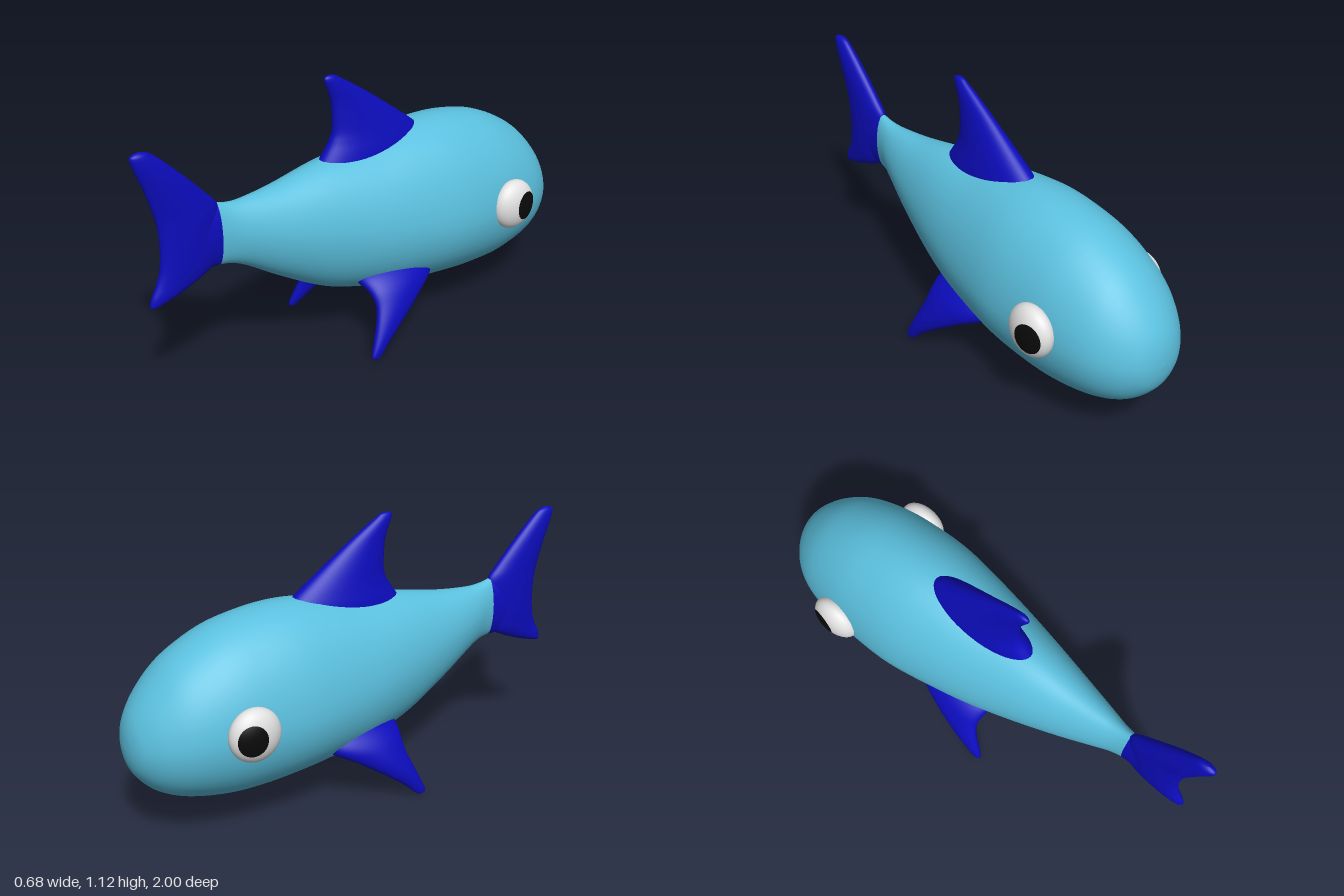
import * as THREE from 'three';
import { mergeVertices } from 'three/addons/utils/BufferGeometryUtils.js';

const SIDES = 48;

const material = (name, color) => {
  const m = new THREE.MeshStandardMaterial({ color });
  m.name = name;
  return m;
};

// Catmull-Rom interpolation of every column of a table of sections
function smooth(rows, steps = 6) {
  const out = [];
  const at = (i) => rows[Math.min(Math.max(i, 0), rows.length - 1)];
  for (let i = 0; i < rows.length - 1; i++) {
    for (let k = 0; k < steps; k++) {
      const t = k / steps;
      out.push(rows[i].map((p1, c) => {
        const p0 = at(i - 1)[c], p2 = at(i + 1)[c], p3 = at(i + 2)[c];
        return p1 + 0.5 * t * (p2 - p0 + t * (2 * p0 - 5 * p1 + 4 * p2 - p3 + t * (3 * (p1 - p2) + p3 - p0)));
      }));
    }
  }
  out.push(rows[rows.length - 1]);
  return out;
}

// Skin through closed rings; point(row, index, rows, cos, sin) gives a vertex
function loft(rows, point) {
  const pos = [], index = [];
  rows.forEach((row, i) => {
    for (let j = 0; j < SIDES; j++) {
      const t = (j / SIDES) * Math.PI * 2;
      pos.push(...point(row, i, rows, Math.cos(t), Math.sin(t)));
      if (i === rows.length - 1) continue;
      const a = i * SIDES + j, b = i * SIDES + (j + 1) % SIDES;
      index.push(a, b, b + SIDES, a, b + SIDES, a + SIDES);
    }
  });
  const geo = new THREE.BufferGeometry();
  geo.setAttribute('position', new THREE.Float32BufferAttribute(pos, 3));
  geo.setIndex(index);
  const welded = mergeVertices(geo, 1e-5);
  welded.computeVertexNormals();
  return welded;
}

// Egg-shaped sections along z: [z, half width, top, bottom, widest height]
const trunk = (rows) => loft(smooth(rows), ([z, w, top, bot, mid], i, all, c, s) =>
  [Math.max(w, 0) * c * (1 - 0.06 * Math.max(s, 0)), mid + s * (s > 0 ? top - mid : mid - bot), z]);

// Oval sections along a path in the xy plane: [x, y, front z, rear z, half thickness]
const fin = (rows) => loft(smooth(rows), ([x, y, zf, zr, w], i, all, c, s) => {
  const p = all[Math.max(i - 1, 0)], q = all[Math.min(i + 1, all.length - 1)];
  const dx = q[0] - p[0], dy = q[1] - p[1], len = Math.hypot(dx, dy);
  const h = Math.max(w, 0) * c;
  return [x - (dy / len) * h, y + (dx / len) * h, (zf + zr) / 2 + s * (zr - zf) / 2];
});

export function createModel() {
  const model = new THREE.Group();
  const skin = material('light blue skin', 0x5bc0de);
  const blue = material('deep blue fins', 0x0c0cbc);
  const white = material('eye white', 0xe2e2e2);
  const black = material('pupil black', 0x0a0a0a);

  const add = (name, geo, mat, parent = model) => {
    const mesh = new THREE.Mesh(geo, mat);
    mesh.name = name;
    parent.add(mesh);
    return mesh;
  };

  // Body from the nose to the tail root
  add('body', trunk([
    [-1, 0, 0.4, 0.4, 0.4],
    [-0.992, 0.06, 0.47, 0.335, 0.4],
    [-0.965, 0.12, 0.54, 0.275, 0.405],
    [-0.9, 0.187, 0.628, 0.21, 0.415],
    [-0.8, 0.24, 0.72, 0.165, 0.43],
    [-0.65, 0.274, 0.798, 0.135, 0.445],
    [-0.5, 0.286, 0.835, 0.133, 0.45],
    [-0.35, 0.286, 0.847, 0.145, 0.455],
    [-0.2, 0.266, 0.835, 0.16, 0.465],
    [0, 0.228, 0.803, 0.19, 0.485],
    [0.2, 0.178, 0.782, 0.25, 0.52],
    [0.4, 0.123, 0.747, 0.36, 0.56],
    [0.55, 0.077, 0.733, 0.455, 0.6],
    [0.62, 0.053, 0.737, 0.487, 0.62],
    [0.67, 0.04, 0.75, 0.497, 0.625],
  ]), skin);

  // Tail root, buried in the tail fin
  add('tailRoot', trunk([
    [0.67, 0.04, 0.75, 0.497, 0.625],
    [0.74, 0.04, 0.755, 0.5, 0.625],
    [0.82, 0.034, 0.74, 0.52, 0.625],
    [0.88, 0, 0.63, 0.62, 0.625],
  ]), blue);

  add('tailFin', fin([
    [0, 0.413, 0.95, 0.95, 0],
    [0, 0.418, 0.925, 0.967, 0.013],
    [0, 0.45, 0.82, 0.96, 0.027],
    [0, 0.5, 0.71, 0.935, 0.036],
    [0, 0.55, 0.677, 0.918, 0.041],
    [0, 0.62, 0.667, 0.91, 0.043],
    [0, 0.7, 0.663, 0.912, 0.043],
    [0, 0.75, 0.667, 0.92, 0.041],
    [0, 0.8, 0.71, 0.933, 0.039],
    [0, 0.88, 0.785, 0.958, 0.035],
    [0, 0.95, 0.855, 0.985, 0.029],
    [0, 1.0, 0.91, 1.0, 0.021],
    [0, 1.015, 0.935, 0.99, 0.013],
    [0, 1.022, 0.965, 0.965, 0],
  ]), blue);

  add('dorsalFin', fin([
    [0, 0.74, -0.38, 0.22, 0.092],
    [0, 0.8, -0.33, 0.175, 0.083],
    [0, 0.85, -0.272, 0.142, 0.071],
    [0, 0.9, -0.205, 0.127, 0.059],
    [0, 1.0, -0.065, 0.132, 0.037],
    [0, 1.06, 0.025, 0.15, 0.026],
    [0, 1.1, 0.09, 0.166, 0.017],
    [0, 1.115, 0.115, 0.16, 0.01],
    [0, 1.12, 0.14, 0.14, 0],
  ]), blue);

  for (const side of [1, -1]) {
    const label = side > 0 ? 'left' : 'right';

    // Side fin, curving out and down from the belly
    add(label + 'SideFin', fin([
      [0.09, 0.29, -0.28, 0.11, 0.06],
      [0.15, 0.273, -0.265, 0.1, 0.057],
      [0.195, 0.24, -0.215, 0.09, 0.05],
      [0.225, 0.195, -0.135, 0.09, 0.042],
      [0.25, 0.13, -0.035, 0.113, 0.034],
      [0.267, 0.065, 0.055, 0.14, 0.024],
      [0.277, 0.02, 0.105, 0.157, 0.013],
      [0.278, 0.008, 0.12, 0.148, 0.008],
      [0.279, 0.002, 0.135, 0.135, 0],
    ].map(([x, ...rest]) => [x * side, ...rest])), blue);

    // Eye with a pupil lying on it, aimed slightly ahead
    const eye = new THREE.Group();
    eye.name = label + 'Eye';
    eye.position.set(0.277 * side, 0.467, -0.607);
    eye.scale.set(0.061, 0.106, 0.104);
    add(label + 'EyeWhite', new THREE.SphereGeometry(1, 48, 32), white, eye);
    const cap = new THREE.SphereGeometry(1.02, 40, 12, 0, Math.PI * 2, 0, 0.6);
    cap.rotateZ(-side * Math.PI / 2).rotateY(side * 0.36);
    add(label + 'Pupil', cap, black, eye);
    model.add(eye);
  }
  return model;
}
